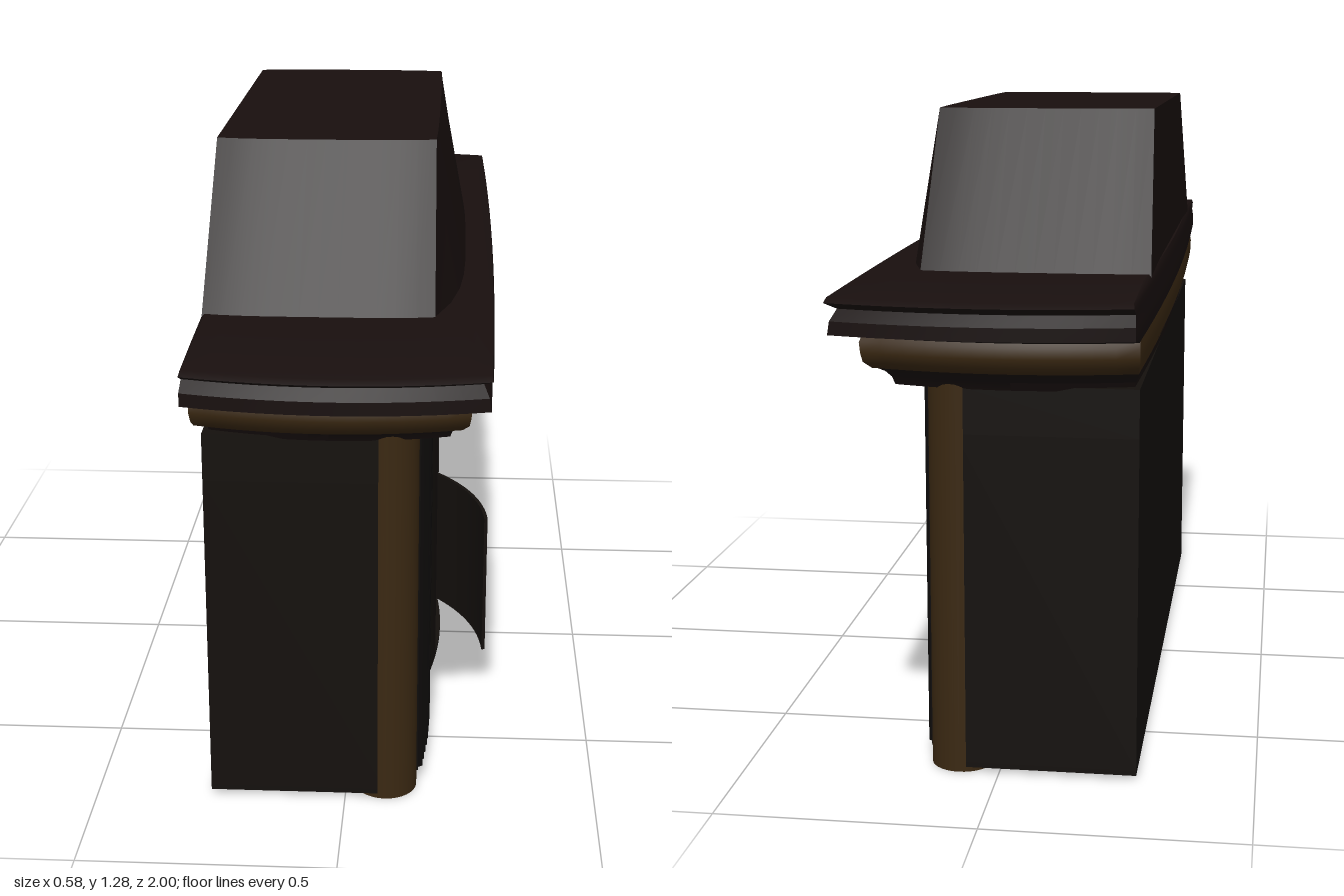
import * as THREE from 'three';
import { toCreasedNormals } from 'three/addons/utils/BufferGeometryUtils.js';

const mat = (color) => new THREE.MeshStandardMaterial({ color, side: THREE.DoubleSide });

// Extrudes a floor plan of [x, z] points from height y0 to y1
function slab(points, y0, y1) {
  const shape = new THREE.Shape(points.map(([x, z]) => new THREE.Vector2(x, -z)));
  const g = new THREE.ExtrudeGeometry(shape, { depth: y1 - y0, bevelEnabled: false });
  g.rotateX(-Math.PI / 2).translate(0, y0, 0);
  return toCreasedNormals(g, 0.5);
}

// Lofts four-sided bowed outlines; level = [y, xBack, xFront, zHalf, frontBow]
function loft(levels, { bowZ, bowBack = 0, power = 2, crease = 0.5 }) {
  const n = 12, pos = [], idx = [], count = 4 * n;
  for (const [y, xb, xf, zh, bowF] of levels) {
    for (let side = 0; side < 4; side++) {
      for (let i = 0; i < n; i++) {
        const t = (2 * i) / n - 1, bulge = 1 - Math.abs(t) ** power;
        const zc = zh - bowZ, xm = (xb + bowBack + xf - bowF) / 2, hx = (xf - bowF - xb - bowBack) / 2;
        if (side === 0) pos.push(xm + hx * t, y, zc + bowZ * bulge);
        if (side === 1) pos.push(xf - bowF + bowF * bulge, y, -zc * t);
        if (side === 2) pos.push(xm - hx * t, y, -zc - bowZ * bulge);
        if (side === 3) pos.push(xb + bowBack - bowBack * bulge, y, zc * t);
      }
    }
  }
  const last = levels.length - 1;
  for (let l = 0; l < last; l++) {
    for (let i = 0; i < count; i++) {
      const a = l * count + i, b = l * count + ((i + 1) % count);
      idx.push(a, b, b + count, a, b + count, a + count);
    }
  }
  // End caps
  const c = pos.length / 3;
  pos.push(0, levels[0][0], 0, 0, levels[last][0], 0);
  for (let i = 0; i < count; i++) {
    const j = (i + 1) % count;
    idx.push(c, j, i, c + 1, last * count + i, last * count + j);
  }
  const g = new THREE.BufferGeometry();
  g.setAttribute('position', new THREE.Float32BufferAttribute(pos, 3));
  g.setIndex(idx);
  return toCreasedNormals(g, crease);
}

export function createModel() {
  const group = new THREE.Group();
  const wall = mat(0x14100d), roofMat = mat(0x180f0e), gold = mat(0x3a2812), cloth = mat(0x0d0b0a);
  const add = (name, geometry, material) => {
    const m = new THREE.Mesh(geometry, material);
    m.name = name;
    group.add(m);
    return m;
  };

  // Body: straight box plan with a bowed centre bay and a doorway
  const bay = (z) => 0.182 - 0.05 * (z / 0.35) ** 2;
  const arc = (z0, z1, off = 0, n = 10) => Array.from({ length: n + 1 }, (_, i) => {
    const z = z0 + ((z1 - z0) * i) / n;
    return [bay(z) + off, z];
  });
  const rear = [[0.08, -0.36], [0.08, -0.75], [-0.27, -0.75], [-0.27, 0.75], [0.08, 0.75], [0.08, 0.36]];
  const solid = [...rear, ...arc(0.35, -0.35, 0, 20)];
  const open = [...rear, ...arc(0.35, 0.15), [-0.22, 0.15], [-0.22, -0.15], ...arc(-0.15, -0.35)];
  add('floor', slab(solid, 0.01, 0.02), wall);
  add('walls', slab(open, 0.02, 0.68), wall);
  add('lintel', slab(solid, 0.68, 0.775), wall);
  add('doorHeader', slab([...arc(0.15, -0.15, 0.017), ...arc(-0.15, 0.15, -0.02)], 0.675, 0.76), wall);

  // Half-height curved door, standing ajar
  const leaf = (off) => Array.from({ length: 13 }, (_, i) => {
    const t = i / 12, b = 0.025 * 4 * t * (1 - t) + off;
    return [0.168 + 0.112 * t + b * 0.93, -0.145 + 0.275 * t - b * 0.37];
  });
  add('halfDoor', slab([...leaf(0.008), ...leaf(0).reverse()], 0.02, 0.35), wall);

  for (const s of [1, -1]) {
    // Columns on each side of the curtain
    for (const [name, x, z] of [['outerColumn', 0.08, 0.69], ['innerColumn', 0.096, 0.37]]) {
      const col = add(name, new THREE.CylinderGeometry(0.062, 0.062, 0.78, 32), gold);
      col.position.set(x, 0.39, s * z);
    }
    // Pleated curtain
    const pleats = [];
    for (let i = 0; i <= 120; i++) {
      const t = i / 120;
      pleats.push([0.157 - 0.012 * t + 0.006 * Math.sin(Math.PI * t) + 0.007 * Math.sin(t * Math.PI * 22),
        s * (0.387 + 0.303 * t)]);
    }
    add('curtain', slab([...pleats, [0.07, s * 0.69], [0.07, s * 0.387]], 0.03, 0.772), cloth);
  }

  // Cornice: lower moulding, gold band, flaring eave
  const bows = { bowZ: 0.035, bowBack: 0.012 };
  add('lowerMoulding', loft([
    [0.768, -0.27, 0.21, 0.755, 0.01], [0.785, -0.272, 0.215, 0.765, 0.01], [0.8, -0.28, 0.222, 0.79, 0.01],
    [0.81, -0.283, 0.235, 0.81, 0.01], [0.825, -0.287, 0.235, 0.815, 0.01],
  ], bows), roofMat);
  add('goldBand', loft([
    [0.818, -0.285, 0.232, 0.855, 0.01], [0.832, -0.288, 0.245, 0.873, 0.01], [0.85, -0.29, 0.248, 0.88, 0.01],
    [0.87, -0.29, 0.25, 0.88, 0.01], [0.885, -0.288, 0.245, 0.87, 0.01],
  ], { ...bows, crease: 0.9 }), gold);
  add('eave', loft([
    [0.88, -0.288, 0.25, 0.88, 0.01], [0.89, -0.29, 0.262, 0.91, 0.01], [0.9, -0.29, 0.284, 0.985, 0.012],
    [0.925, -0.29, 0.28, 0.985, 0.012], [0.945, -0.288, 0.27, 0.965, 0.012], [0.96, -0.288, 0.286, 1, 0.012],
    [0.968, -0.286, 0.284, 0.985, 0.012], [0.975, -0.284, 0.24, 0.75, 0.012],
  ], bows), roofMat);

  // Hipped roof block, bowed out at the foot of its front slope
  add('roof', loft([
    [0.965, -0.28, 0.228, 0.645, 0.06], [1.278, -0.268, 0.167, 0.44, 0.003],
  ], { bowZ: 0.012, power: 4 }), roofMat);

  return group;
}
